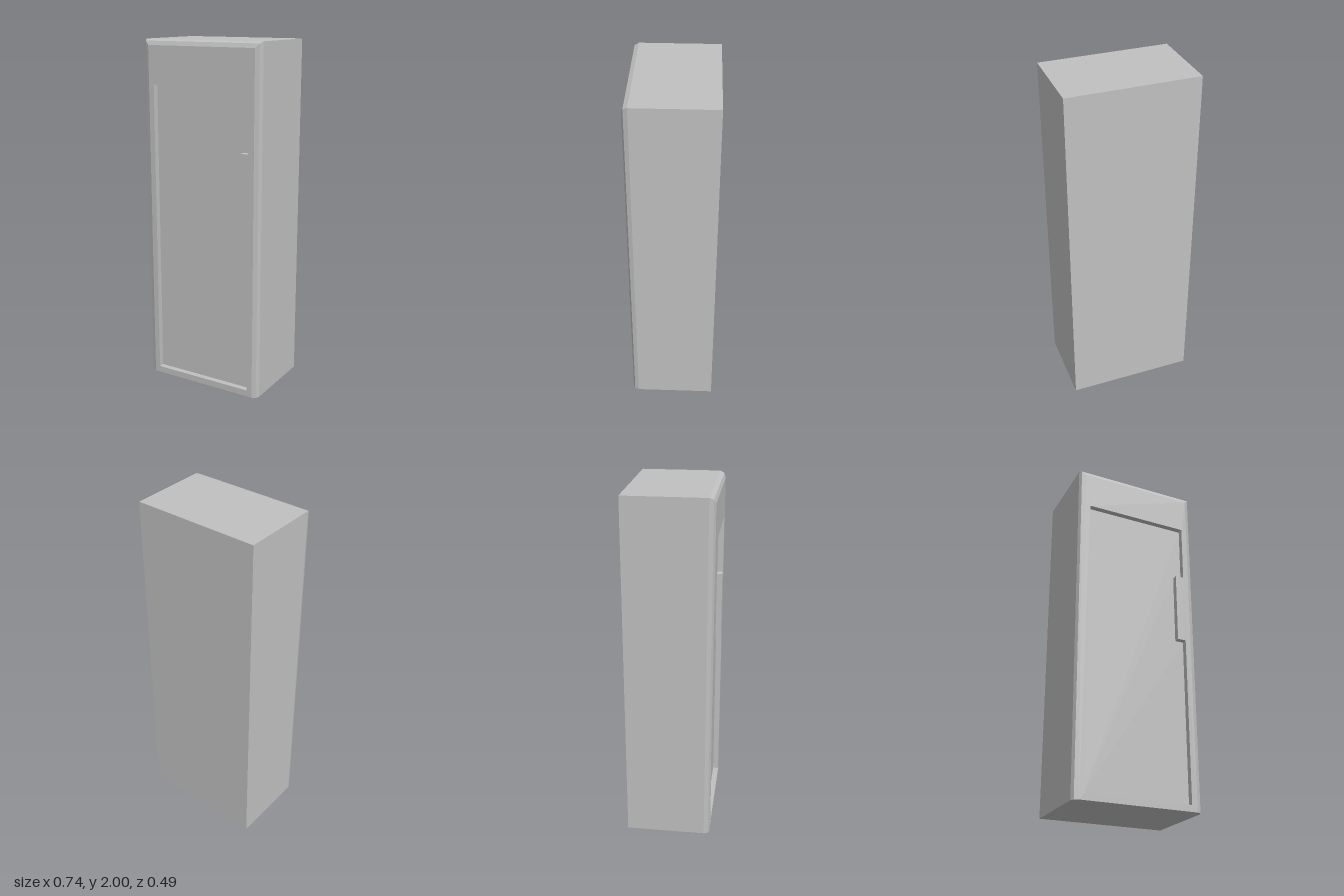
import * as THREE from 'three';

const FRONT = 0.243, BACK = -0.245, RECESS = 0.033;

// Walls between successive closed outlines, each { pts: [[x, y], ...], z }, flat shaded
function loft(rings) {
  const v = [];
  for (let r = 0; r < rings.length - 1; r++) {
    const a = rings[r], b = rings[r + 1], n = a.pts.length;
    for (let i = 0; i < n; i++) {
      const j = (i + 1) % n;
      const ai = [...a.pts[i], a.z], aj = [...a.pts[j], a.z];
      const bi = [...b.pts[i], b.z], bj = [...b.pts[j], b.z];
      v.push(...ai, ...aj, ...bj, ...ai, ...bj, ...bi);
    }
  }
  const g = new THREE.BufferGeometry();
  g.setAttribute('position', new THREE.Float32BufferAttribute(v, 3));
  g.computeVertexNormals();
  return g;
}

// Flat face filling an outline, facing +z
function face(pts, z, hole) {
  const toVec = p => new THREE.Vector2(...p);
  const shape = new THREE.Shape(pts.map(toVec));
  if (hole) shape.holes.push(new THREE.Path(hole.map(toVec)));
  return new THREE.ShapeGeometry(shape).translate(0, 0, z);
}

const outline = (w, h) => [[-w, 0], [w, 0], [w, h], [-w, h]];

export function createModel() {
  const grey = new THREE.MeshStandardMaterial({ color: 0xc0c0c0 });
  grey.name = 'grey';
  const model = new THREE.Group();
  model.name = 'cabinet';
  const add = (name, geometry) => {
    const mesh = new THREE.Mesh(geometry, grey);
    mesh.name = name;
    model.add(mesh);
    return mesh;
  };

  // Cabinet shell: straight sides, two-step bevel on the sides and top of the front
  add('cabinetShell', loft([
    { pts: outline(0.369, 2), z: BACK },
    { pts: outline(0.369, 2), z: 0.21 },
    { pts: outline(0.36, 1.99), z: 0.233 },
    { pts: outline(0.337, 1.967), z: FRONT },
  ]));

  // Back panel
  const back = add('backPanel', new THREE.PlaneGeometry(0.738, 2));
  back.position.set(0, 1, BACK);
  back.rotation.y = Math.PI;

  // Door opening with a handle tab standing in from the frame
  const opening = [
    [-0.305, 0.037], [0.305, 0.037], [0.305, 0.995], [0.255, 0.995],
    [0.255, 1.413], [0.305, 1.413], [0.305, 1.752], [-0.305, 1.752],
  ];
  add('frontFrame', face(outline(0.337, 1.967), FRONT, opening));
  add('doorRecessWalls', loft([
    { pts: opening, z: FRONT },
    { pts: opening, z: FRONT - RECESS },
  ]));
  add('doorPanel', face(opening, FRONT - RECESS));

  return model;
}
